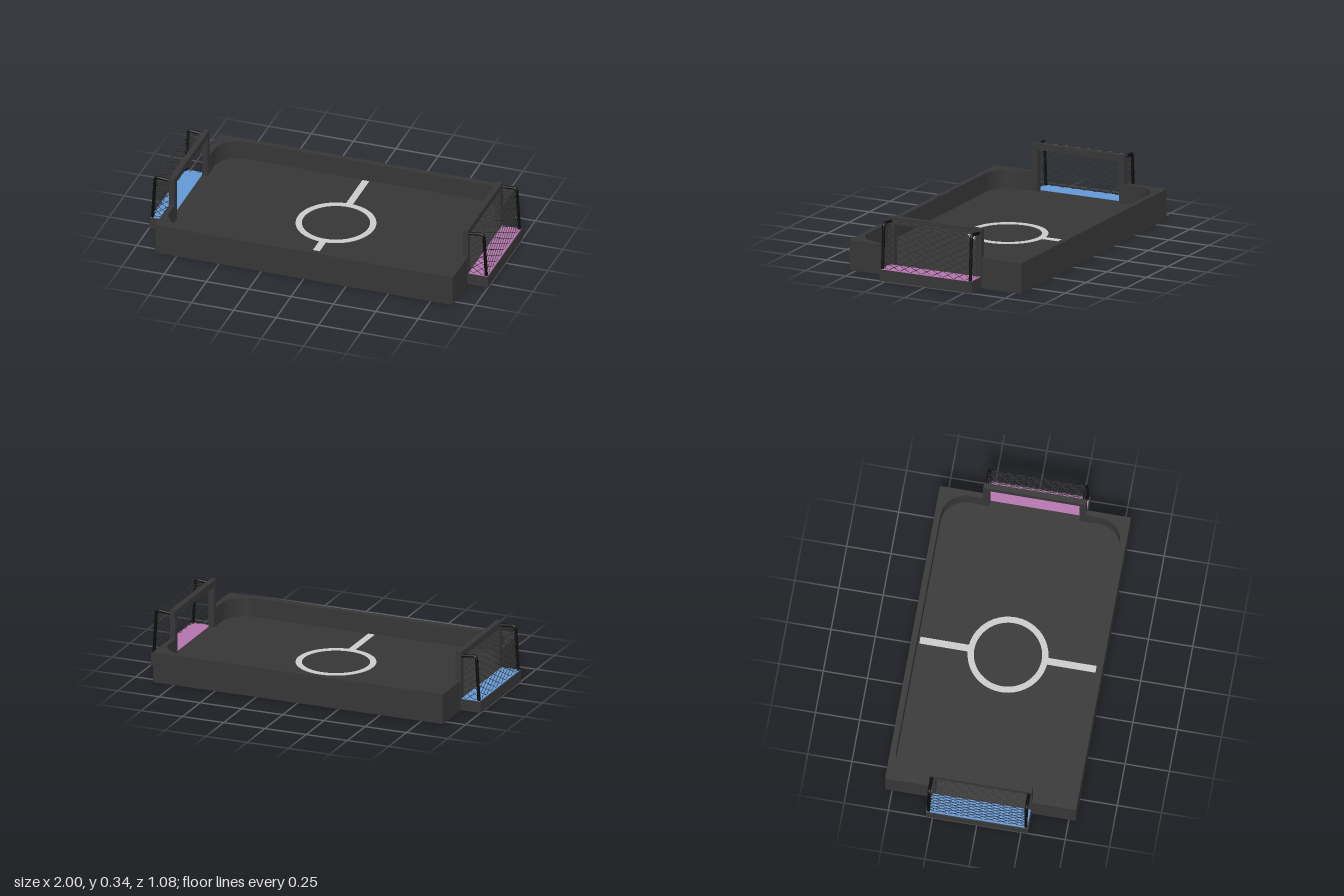
import * as THREE from 'three';
import { mergeGeometries } from 'three/addons/utils/BufferGeometryUtils.js';

const FLOOR = 0.065, WALL = 0.175;
const paint = (color) => new THREE.MeshStandardMaterial({ color, roughness: 0.8 });
const dark = paint(0x363636), black = paint(0x0c0c0c), white = paint(0xcccccc), string = paint(0x303030);

function add(parent, name, geometry, material) {
  const mesh = new THREE.Mesh(geometry, material);
  mesh.name = name;
  parent.add(mesh);
  return mesh;
}

function box(x0, x1, y0, y1, z0, z1) {
  return new THREE.BoxGeometry(x1 - x0, y1 - y0, z1 - z0)
    .translate((x0 + x1) / 2, (y0 + y1) / 2, (z0 + z1) / 2);
}

// Extrudes a plan outline upwards from y0 to y1
function slab(shape, y0, y1) {
  return new THREE.ExtrudeGeometry(shape, { depth: y1 - y0, bevelEnabled: false, curveSegments: 16 })
    .rotateX(-Math.PI / 2).translate(0, y0, 0);
}

// One straight cord between two points
function cord(a, b, r) {
  const dir = b.clone().sub(a);
  const g = new THREE.CylinderGeometry(r, r, dir.length(), 4, 1, true);
  g.applyQuaternion(new THREE.Quaternion().setFromUnitVectors(new THREE.Vector3(0, 1, 0), dir.normalize()));
  return g.translate((a.x + b.x) / 2, (a.y + b.y) / 2, (a.z + b.z) / 2);
}

// Diamond netting over a four-cornered panel, nu by nv diamonds
function netPanel([p00, p10, p11, p01], nu, nv) {
  const at = (u, v) => p00.clone().lerp(p10, u / nu).lerp(p01.clone().lerp(p11, u / nu), v / nv);
  const cords = [];
  for (let c = -nv + 0.5; c < nu; c++) {
    const u0 = Math.max(0, c), u1 = Math.min(nu, c + nv);
    if (u1 - u0 < 0.05) continue;
    cords.push(cord(at(u0, u0 - c), at(u1, u1 - c), 0.0015));
    cords.push(cord(at(u0, nv - u0 + c), at(u1, nv - u1 + c), 0.0015));
  }
  return cords;
}

// Goal at the +x end
function goal(name, color) {
  const g = new THREE.Group();
  g.name = name;

  // Ledge behind the goal with its coloured top
  const s = new THREE.Shape();
  s.moveTo(0.88, -0.29).lineTo(0.99, -0.29).quadraticCurveTo(1, -0.29, 1, -0.28);
  s.lineTo(1, 0.28).quadraticCurveTo(1, 0.29, 0.99, 0.29).lineTo(0.88, 0.29);
  add(g, 'goalLedge', slab(s, 0, FLOOR), dark);
  add(g, 'goalFloor', box(0.882, 0.994, FLOOR - 0.002, FLOOR + 0.002, -0.284, 0.284), paint(color));

  // Posts and crossbar cut from one upright arch
  const arch = new THREE.Shape();
  arch.moveTo(-0.29, FLOOR).lineTo(-0.29, 0.342).lineTo(0.29, 0.342).lineTo(0.29, FLOOR);
  arch.lineTo(0.255, FLOOR).lineTo(0.255, 0.305).lineTo(-0.255, 0.305).lineTo(-0.255, FLOOR);
  add(g, 'goalFrame', new THREE.ExtrudeGeometry(arch, { depth: 0.032, bevelEnabled: false })
    .rotateY(Math.PI / 2).translate(0.85, 0, 0), dark);

  // Bent poles that carry the net
  for (const z of [-0.275, 0.275]) {
    const path = new THREE.CurvePath();
    const v = (x, y) => new THREE.Vector3(x, y, z);
    path.add(new THREE.LineCurve3(v(0.875, 0.317), v(0.95, 0.325)));
    path.add(new THREE.QuadraticBezierCurve3(v(0.95, 0.325), v(0.969, 0.326), v(0.971, 0.307)));
    path.add(new THREE.LineCurve3(v(0.971, 0.307), v(0.985, FLOOR)));
    add(g, 'netPole', new THREE.TubeGeometry(path, 40, 0.009, 10), black);
  }

  // Net: back, top and both sides
  const p = (x, y, z) => new THREE.Vector3(x, y, z);
  const zn = 0.272;
  const cords = [
    ...netPanel([p(0.985, FLOOR, -zn), p(0.985, FLOOR, zn), p(0.968, 0.322, zn), p(0.968, 0.322, -zn)], 8, 7),
    ...netPanel([p(0.88, 0.317, -zn), p(0.88, 0.317, zn), p(0.968, 0.322, zn), p(0.968, 0.322, -zn)], 8, 2),
  ];
  for (const z of [-zn, zn]) {
    cords.push(...netPanel([p(0.88, FLOOR, z), p(0.985, FLOOR, z), p(0.968, 0.322, z), p(0.88, 0.317, z)], 2, 7));
  }
  add(g, 'net', mergeGeometries(cords), string);
  return g;
}

export function createModel() {
  const model = new THREE.Group();
  model.name = 'footballPitch';

  // Pitch base
  const base = new THREE.Shape(), e = 0.008;
  base.moveTo(-0.88 + e, -0.54).lineTo(0.88 - e, -0.54).quadraticCurveTo(0.88, -0.54, 0.88, -0.54 + e);
  base.lineTo(0.88, 0.54 - e).quadraticCurveTo(0.88, 0.54, 0.88 - e, 0.54);
  base.lineTo(-0.88 + e, 0.54).quadraticCurveTo(-0.88, 0.54, -0.88, 0.54 - e);
  base.lineTo(-0.88, -0.54 + e).quadraticCurveTo(-0.88, -0.54, -0.88 + e, -0.54);
  add(model, 'pitchBase', slab(base, 0, FLOOR), dark);

  // Side walls with rounded inner corners, open at the goals
  const wall = new THREE.Shape(), r = 0.14;
  wall.moveTo(0.88, 0.29).lineTo(0.88, 0.54 - e).quadraticCurveTo(0.88, 0.54, 0.88 - e, 0.54);
  wall.lineTo(-0.88 + e, 0.54).quadraticCurveTo(-0.88, 0.54, -0.88, 0.54 - e);
  wall.lineTo(-0.88, 0.29).lineTo(-0.85, 0.29).lineTo(-0.85, 0.507 - r);
  wall.absarc(-0.85 + r, 0.507 - r, r, Math.PI, Math.PI / 2, true);
  wall.lineTo(0.85 - r, 0.507);
  wall.absarc(0.85 - r, 0.507 - r, r, Math.PI / 2, 0, true);
  wall.lineTo(0.85, 0.29);
  for (const turn of [0, Math.PI]) {
    add(model, 'sideWall', slab(wall, FLOOR, WALL).rotateY(turn), dark);
  }

  // Centre circle and halfway line
  const ring = new THREE.Shape().absarc(0, 0, 0.225, 0, Math.PI * 2);
  ring.holes.push(new THREE.Path().absarc(0, 0, 0.19, 0, Math.PI * 2, true));
  add(model, 'centreCircle', new THREE.ExtrudeGeometry(ring, { depth: 0.004, bevelEnabled: false, curveSegments: 48 })
    .rotateX(-Math.PI / 2).translate(0, FLOOR - 0.001, 0), white);
  for (const s of [-1, 1]) {
    add(model, 'halfwayLine', box(-0.02, 0.02, FLOOR - 0.001, FLOOR + 0.0025, -0.143, 0.143)
      .translate(0, 0, s * 0.355), white);
  }

  // One goal at each end
  model.add(goal('leftGoal', 0xb474ad));
  const other = goal('rightGoal', 0x6398d6);
  other.rotation.y = Math.PI;
  model.add(other);
  return model;
}
